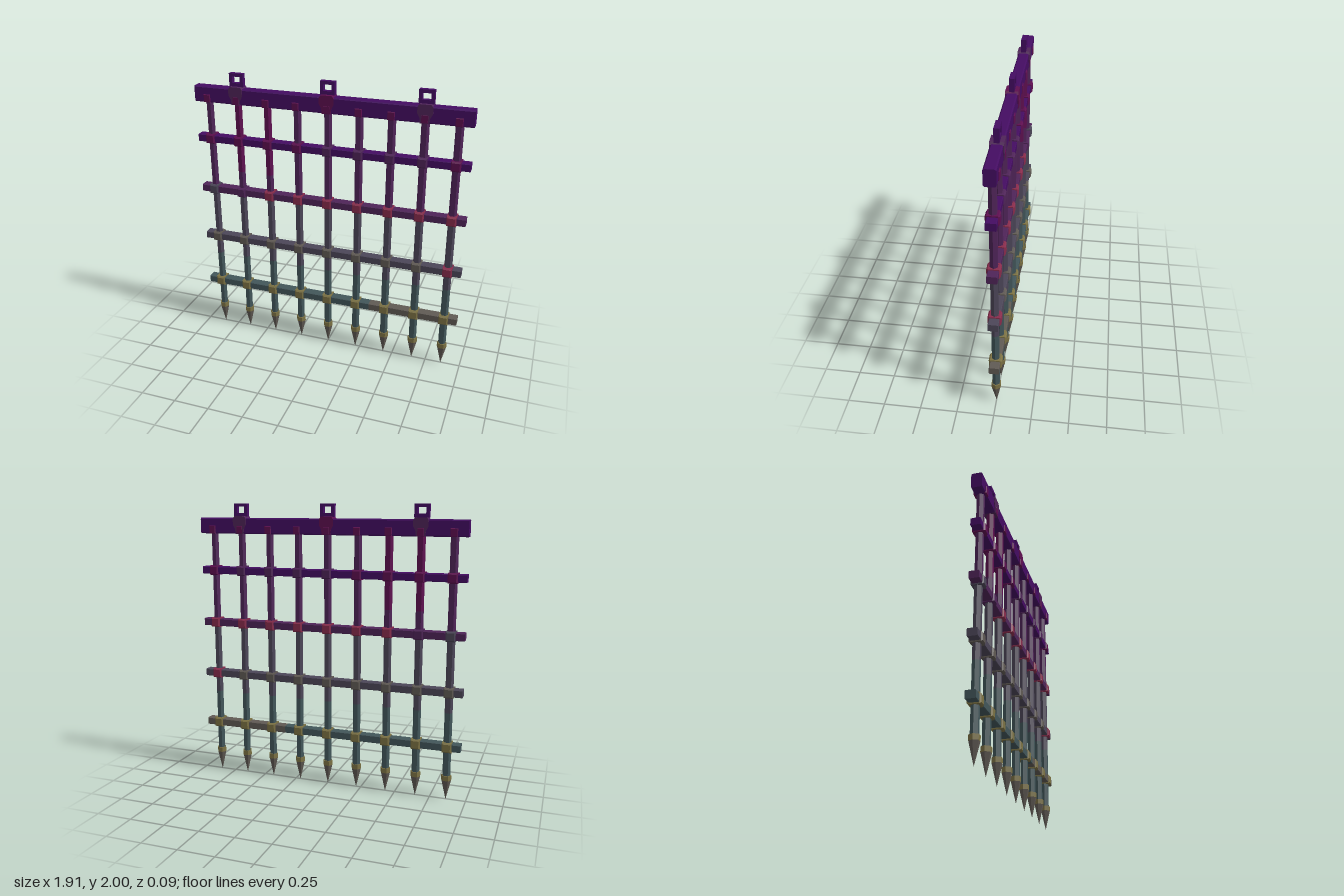
import * as THREE from 'three';

const mat = (name, color) => {
  const m = new THREE.MeshStandardMaterial({ color });
  m.name = name;
  return m;
};

export function createModel() {
  const gate = new THREE.Group();
  gate.name = 'portcullis';

  const purple = mat('deep purple', 0x440c62);
  const plum = mat('plum', 0x4f2458);
  const slate = mat('slate', 0x4c4658);
  const teal = mat('teal', 0x42565a);
  const magenta = mat('magenta', 0x5e0f50);
  const crimson = mat('crimson', 0x882c4c);
  const olive = mat('olive', 0x7c7244);
  const taupe = mat('taupe', 0x605a54);

  const add = (name, geometry, material, x = 0, y = 0, z = 0) => {
    const mesh = new THREE.Mesh(geometry, material);
    mesh.name = name;
    mesh.position.set(x, y, z);
    gate.add(mesh);
    return mesh;
  };

  // Long beam along x with chamfered edges
  const beamGeometry = (length, h, d, c) => {
    const a = d / 2, b = h / 2;
    const pts = [[a, b - c], [a - c, b], [c - a, b], [-a, b - c], [-a, c - b], [c - a, -b], [a - c, -b], [a, c - b]];
    const shape = new THREE.Shape(pts.map(p => new THREE.Vector2(...p)));
    const g = new THREE.ExtrudeGeometry(shape, { depth: length, bevelEnabled: false });
    return g.translate(0, 0, -length / 2).rotateY(Math.PI / 2);
  };

  // Block whose front and back faces are smaller than its middle
  const studGeometry = (w, h, d, inset) => {
    const g = new THREE.BoxGeometry(w, h, d, 1, 1, 3).toNonIndexed();
    const p = g.attributes.position;
    for (let i = 0; i < p.count; i++) {
      const z = p.getZ(i);
      if (Math.abs(z) > d * 0.4) {
        p.setX(i, p.getX(i) * (1 - 2 * inset / w));
        p.setY(i, p.getY(i) * (1 - 2 * inset / h));
      } else p.setZ(i, Math.sign(z) * (d / 2 - inset));
    }
    g.computeVertexNormals();
    return g;
  };

  // Six-sided prism with a flat facing front
  const hexGeometry = (top, bottom, y0, y1) => {
    const g = new THREE.CylinderGeometry(top, bottom, y1 - y0, 6).rotateY(Math.PI / 2)
      .translate(0, (y0 + y1) / 2, 0).toNonIndexed();
    g.computeVertexNormals();
    return g;
  };

  // Top beam and cross rails
  add('topBeam', beamGeometry(1.91, 0.11, 0.074, 0.008), purple, 0, 1.845);
  const railY = [1.527, 1.145, 0.762, 0.38];
  const railMats = [purple, plum, slate, teal];
  railY.forEach((y, i) => {
    if (i < 3) add('crossRail', beamGeometry(1.91, 0.052, 0.066, 0.004), railMats[i], 0, y);
    else {
      add('crossRail', beamGeometry(1.275, 0.052, 0.066, 0.004), teal, -0.3175, y);
      add('crossRailEnd', beamGeometry(0.635, 0.052, 0.066, 0.004), taupe, 0.6375, y);
    }
  });

  // Upright bars, changing colour downwards
  const levels = [1.86, 1.3, 1.145, 0.62, 0.17];
  const barMats = [plum, plum, slate, teal];
  const barParts = barMats.map((_, i) => hexGeometry(0.027, 0.027, levels[i + 1], levels[i]));
  const collar = hexGeometry(0.035, 0.035, 0.14, 0.175);
  const spike = hexGeometry(0.034, 0.0005, 0, 0.14);
  const stud = studGeometry(0.066, 0.068, 0.086, 0.009);
  const beamStud = studGeometry(0.048, 0.055, 0.088, 0.004);

  for (let i = 0; i < 9; i++) {
    const x = (i - 4) * 0.2157;
    barParts.forEach((g, k) => {
      const m = k === 0 && (i === 1 || i === 2) ? magenta : barMats[k];
      add('uprightBar', g, m, x);
    });
    add('spikeCollar', collar, olive, x);
    add('spike', spike, taupe, x);

    // Studs at each crossing
    const studMats = [
      i < 4 || i === 8 ? magenta : plum,
      i === 0 ? slate : i === 1 ? plum : crimson,
      i === 8 ? crimson : taupe,
      olive,
    ];
    railY.forEach((y, r) => add('crossingStud', stud, studMats[r], x, y));
    add('beamStud', beamStud, magenta, x, 1.818);
  }

  // Lifting eyes: square ring over a tapered clamp
  const ring = new THREE.Shape([[-0.05, 0], [0.05, 0], [0.05, 0.09], [-0.05, 0.09]].map(p => new THREE.Vector2(...p)));
  ring.holes.push(new THREE.Path([[-0.028, 0.025], [-0.028, 0.068], [0.028, 0.068], [0.028, 0.025]].map(p => new THREE.Vector2(...p))));
  const ringGeometry = new THREE.ExtrudeGeometry(ring, { depth: 0.034, bevelEnabled: false }).translate(0, 0, -0.017);
  const clamp = new THREE.Shape([[-0.03, 1.79], [0.03, 1.79], [0.034, 1.825], [0.05, 1.855], [0.05, 1.895], [0.038, 1.912],
    [-0.038, 1.912], [-0.05, 1.895], [-0.05, 1.855], [-0.034, 1.825]].map(p => new THREE.Vector2(...p)));
  const clampGeometry = new THREE.ExtrudeGeometry(clamp, { depth: 0.084, bevelEnabled: false }).translate(0, 0, -0.042);
  for (const x of [-0.647, 0, 0.647]) {
    add('liftingEye', ringGeometry, purple, x, 1.91);
    add('eyeClamp', clampGeometry, x === 0 ? magenta : plum, x);
  }

  return gate;
}
